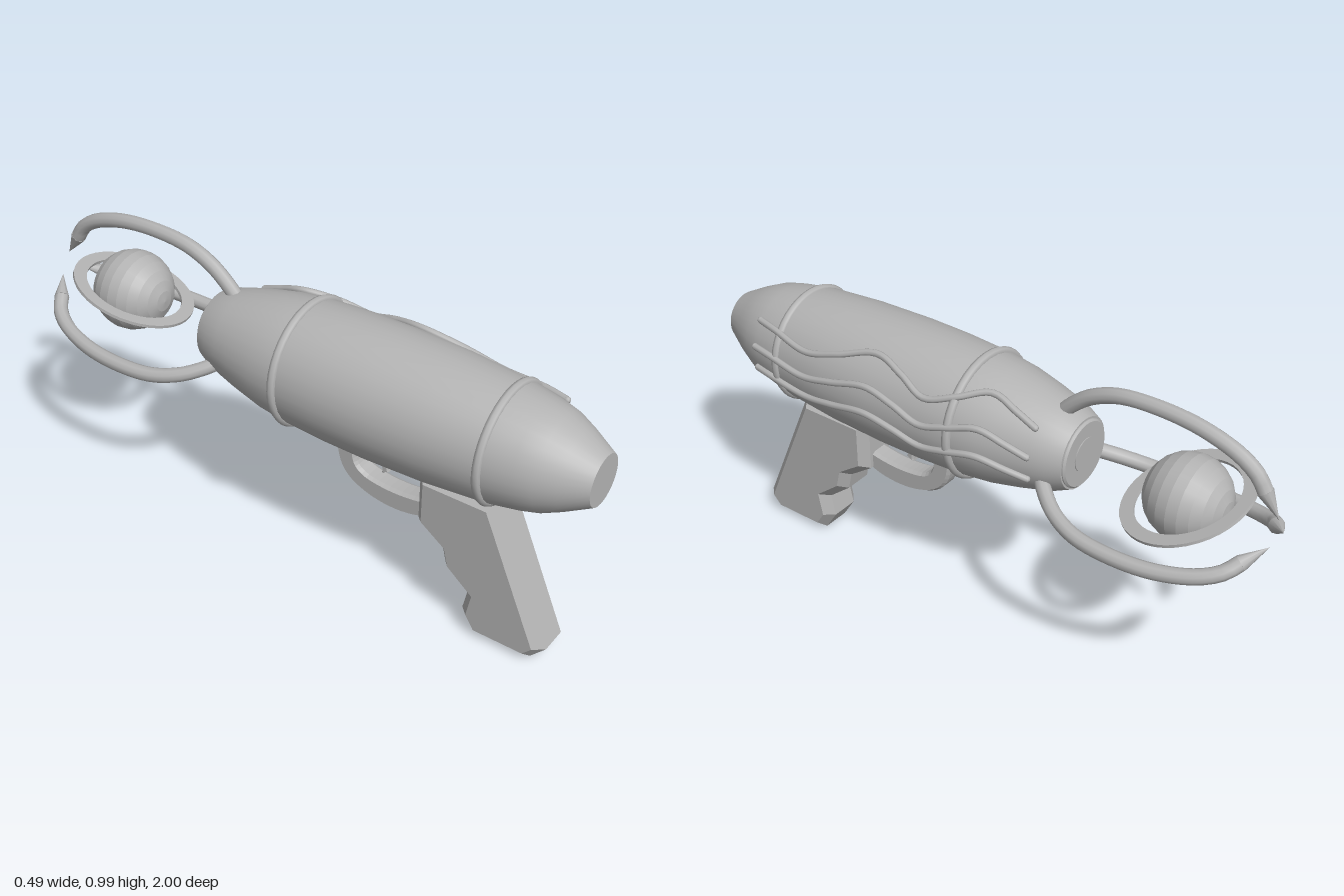
import * as THREE from 'three';

const AXIS_Y = 0.715; // height of the barrel axis
// barrel outline as [z, radius], rear to nose
const HULL = [[-0.355, 0.116], [-0.31, 0.137], [-0.26, 0.152], [-0.2, 0.168], [-0.1, 0.19], [0, 0.202], [0.15, 0.209], [0.3, 0.21],
  [0.5, 0.204], [0.7, 0.188], [0.8, 0.17], [0.86, 0.154], [0.92, 0.126], [1, 0.082]];

function hullRadius(z) {
  for (let i = 1; i < HULL.length; i++) {
    const [z0, r0] = HULL[i - 1], [z1, r1] = HULL[i];
    if (z <= z1) return r0 + (r1 - r0) * (z - z0) / (z1 - z0);
  }
  return HULL[HULL.length - 1][1];
}

// turned part along z from [z, radius] pairs; repeated pairs make a sharp edge
function turned(profile, segments) {
  const geo = new THREE.LatheGeometry(profile.map(([z, r]) => new THREE.Vector2(r, z)), segments);
  geo.rotateX(Math.PI / 2);
  geo.normalizeNormals();
  return geo;
}

const sharp = (profile) => profile.flatMap((p) => [p, p]).slice(1, -1);

// side outline of [z, y] points, extruded across x with a chamfer
function sidePlate(shape, width, bevel, bevelDepth) {
  const geo = new THREE.ExtrudeGeometry(shape, {
    depth: width - 2 * bevelDepth, curveSegments: 10, bevelEnabled: true, bevelSegments: 1,
    bevelSize: bevel, bevelOffset: -bevel, bevelThickness: bevelDepth,
  });
  geo.translate(0, 0, -(width - 2 * bevelDepth) / 2);
  geo.rotateY(-Math.PI / 2);
  return geo;
}

const polygon = (pts) => new THREE.Shape(pts.map(([z, y]) => new THREE.Vector2(z, y)));

export function createModel() {
  const model = new THREE.Group();
  const grey = new THREE.MeshStandardMaterial({ color: 0xb4b4b4 });
  grey.name = 'grey';
  const add = (name, geo, parent = model) => {
    const mesh = new THREE.Mesh(geo, grey);
    mesh.name = name;
    parent.add(mesh);
    return mesh;
  };

  // everything arranged around the barrel axis
  const barrel = new THREE.Group();
  barrel.name = 'barrel';
  barrel.position.y = AXIS_Y;
  model.add(barrel);

  const first = HULL[0], last = HULL[HULL.length - 1];
  add('hull', turned([[first[0], 0], first, ...HULL, last, [last[0], 0]], 32), barrel);
  add('rearCap', turned(sharp([[-0.364, 0], [-0.364, 0.104], [-0.358, 0.11], [-0.34, 0.11]]), 32), barrel);
  add('rearButton', turned(sharp([[-0.367, 0], [-0.367, 0.055], [-0.36, 0.055]]), 24), barrel);

  // raised bands
  for (const [z, r] of [[0.7, 0.183], [0, 0.2]]) {
    const band = add('band', new THREE.TorusGeometry(r, 0.015, 8, 40), barrel);
    band.position.z = z;
  }

  // wavy pipes on the left flank, following the hull
  const wave = [[0.8, 0], [0.72, 0], [0.57, -0.012], [0.45, 0.015], [0.31, 0.05], [0.2, 0.03],
    [0.1, 0], [0, 0.025], [-0.1, 0.05], [-0.19, 0.025], [-0.26, 0]];
  for (const [y0, amp] of [[0.111, 1.1], [0.031, 0.95], [-0.049, 0.8]]) {
    const pts = wave.map(([z, d]) => {
      const y = y0 + d * amp, r = hullRadius(z) + 0.005;
      return new THREE.Vector3(Math.sqrt(r * r - y * y), y, z);
    });
    add('wavyPipe', new THREE.TubeGeometry(new THREE.CatmullRomCurve3(pts), 60, 0.011, 8), barrel);
    for (const end of [pts[0], pts[pts.length - 1]]) {
      add('pipeEnd', new THREE.SphereGeometry(0.011, 8, 6), barrel).position.copy(end);
    }
  }

  // three curved prongs with pointed tips
  const prongPath = [[-0.27, 0.11], [-0.32, 0.162], [-0.38, 0.208], [-0.47, 0.245], [-0.6, 0.257],
    [-0.74, 0.245], [-0.86, 0.207], [-0.92, 0.165], [-0.948, 0.122]];
  const prongPts = prongPath.map(([z, r]) => new THREE.Vector3(0, r, z));
  const base = prongPts[prongPts.length - 1];
  const point = new THREE.Vector3(0, 0.045, -1);
  const tipVector = point.clone().sub(base);
  for (let k = 0; k < 3; k++) {
    const prong = new THREE.Group();
    prong.name = 'prong';
    prong.rotation.z = k * Math.PI * 2 / 3;
    barrel.add(prong);
    add('prongArm', new THREE.TubeGeometry(new THREE.CatmullRomCurve3(prongPts), 28, 0.024, 10), prong);
    const tip = add('prongTip', new THREE.ConeGeometry(0.025, tipVector.length(), 10), prong);
    tip.position.copy(base).addScaledVector(tipVector, 0.5);
    tip.quaternion.setFromUnitVectors(new THREE.Vector3(0, 1, 0), tipVector.clone().normalize());
  }

  // floating planet with its tilted ring
  const planet = new THREE.Group();
  planet.name = 'planet';
  planet.position.z = -0.716;
  barrel.add(planet);
  const arc = [];
  for (let i = 0; i <= 12; i++) {
    const a = Math.PI * i / 12;
    arc.push([-0.133 * Math.cos(a), 0.133 * Math.sin(a)]);
  }
  add('planetBall', turned(sharp(arc), 24), planet);
  const ring = add('planetRing', turned(sharp([[-0.005, 0.162], [-0.005, 0.205], [0.005, 0.205], [0.005, 0.162], [-0.005, 0.162]]), 40)
    .rotateX(Math.PI / 2), planet);
  ring.rotation.set(0.29, 0, -0.22);

  // grip with finger notches
  add('grip', sidePlate(polygon([[0.91, 0.055], [0.86, 0], [0.66, 0], [0.615, 0.07], [0.63, 0.147], [0.545, 0.217],
    [0.53, 0.28], [0.44, 0.345], [0.44, 0.53], [0.705, 0.53]].reverse()), 0.16, 0.028, 0.033));

  // trigger guard
  const guard = new THREE.Shape();
  guard.moveTo(0.46, 0.34);
  guard.bezierCurveTo(0.4, 0.31, 0.29, 0.3, 0.2, 0.345);
  guard.bezierCurveTo(0.13, 0.38, 0.118, 0.44, 0.118, 0.54);
  guard.lineTo(0.188, 0.54);
  guard.bezierCurveTo(0.19, 0.46, 0.18, 0.42, 0.24, 0.4);
  guard.bezierCurveTo(0.3, 0.385, 0.38, 0.385, 0.46, 0.405);
  add('triggerGuard', sidePlate(guard, 0.07, 0.008, 0.012));

  // hooked trigger
  const trigger = new THREE.Shape();
  trigger.moveTo(0.325, 0.54);
  trigger.lineTo(0.32, 0.5);
  trigger.quadraticCurveTo(0.295, 0.47, 0.308, 0.435);
  trigger.lineTo(0.282, 0.422);
  trigger.quadraticCurveTo(0.285, 0.46, 0.265, 0.5);
  trigger.lineTo(0.26, 0.54);
  add('trigger', sidePlate(trigger, 0.04, 0.004, 0.006));

  return model;
}
